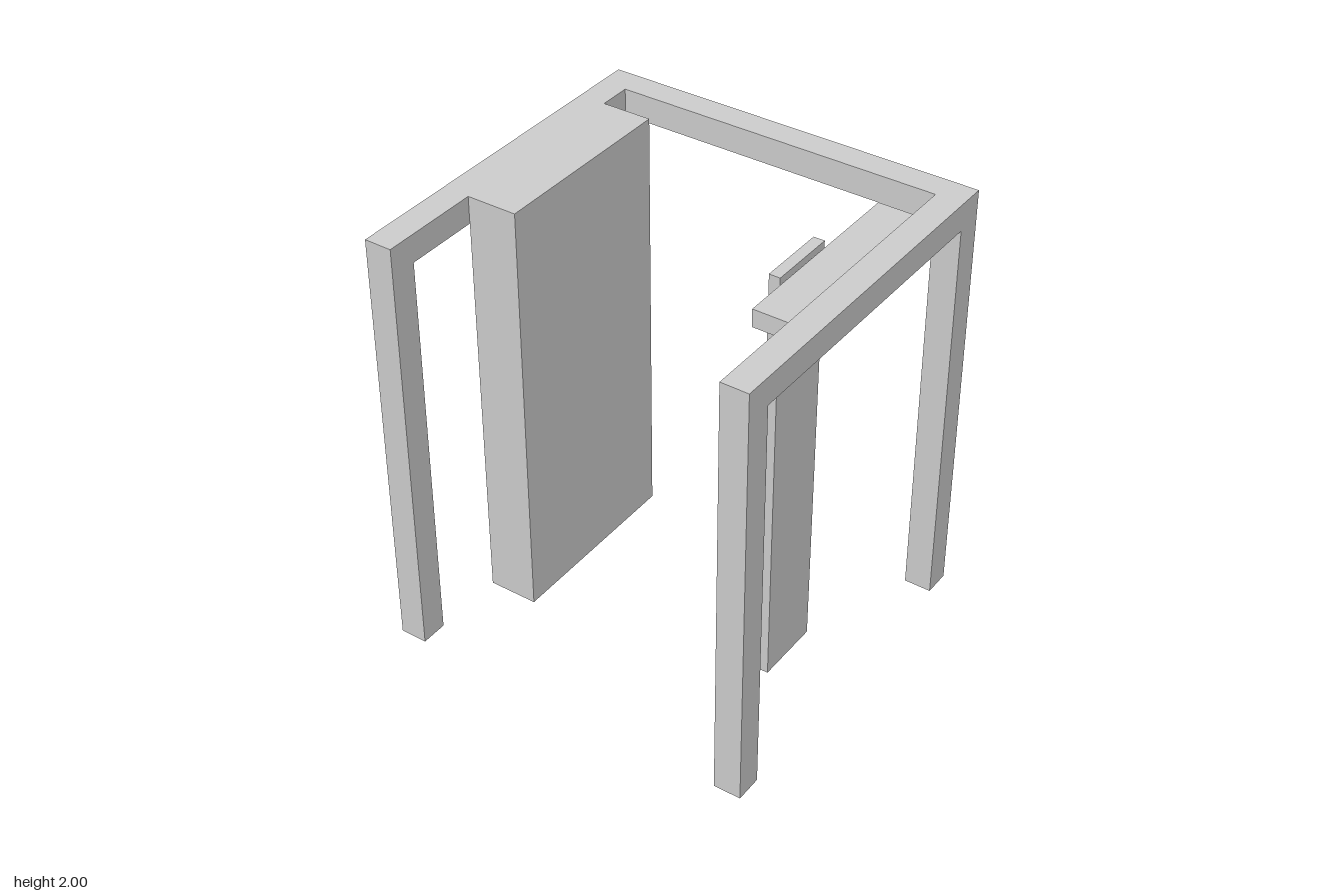
import * as THREE from 'three';

export function createModel() {
  const group = new THREE.Group();
  const material = new THREE.MeshStandardMaterial({ color: 0xcccccc, flatShading: true });

  // Box spanning the given ranges on each axis
  function addBox(name, [x0, x1], [y0, y1], [z0, z1]) {
    const mesh = new THREE.Mesh(new THREE.BoxGeometry(x1 - x0, y1 - y0, z1 - z0), material);
    mesh.position.set((x0 + x1) / 2, (y0 + y1) / 2, (z0 + z1) / 2);
    mesh.name = name;
    group.add(mesh);
  }

  const X = 0.875, Z = 0.825, T = 0.125; // half width, half depth, beam thickness
  const top = 2, under = top - T;

  // U-shaped top frame, open at the front
  const outline = [[-X, -Z], [-X + T, -Z], [-X + T, Z - T], [X - T, Z - T], [X - T, -Z], [X, -Z], [X, Z], [-X, Z]];
  const shape = new THREE.Shape(outline.map(([x, y]) => new THREE.Vector2(x, y)));
  const frameGeometry = new THREE.ExtrudeGeometry(shape, { depth: T, bevelEnabled: false });
  frameGeometry.rotateX(-Math.PI / 2);
  const frame = new THREE.Mesh(frameGeometry, material);
  frame.position.y = under;
  frame.name = 'topFrame';
  group.add(frame);

  // Four corner posts
  for (const sx of [-1, 1]) {
    for (const sz of [-1, 1]) {
      const x = sx * (X - T / 2), z = sz * (Z - T / 2);
      addBox((sz > 0 ? 'front' : 'back') + (sx > 0 ? 'Left' : 'Right') + 'Post',
        [x - T / 2, x + T / 2], [0, under], [z - T / 2, z + T / 2]);
    }
  }

  // Tall cabinet against one side beam
  addBox('cabinet', [-X + T, -0.52], [0, top], [-0.55, 0.355]);

  // Shelf rail and free-standing panel on the other side
  addBox('shelfRail', [0.58, X - T], [1.9, 1.98], [-0.55, 0.355]);
  addBox('standingPanel', [0.52, 0.57], [0, top], [-0.165, 0.15]);

  return group;
}
